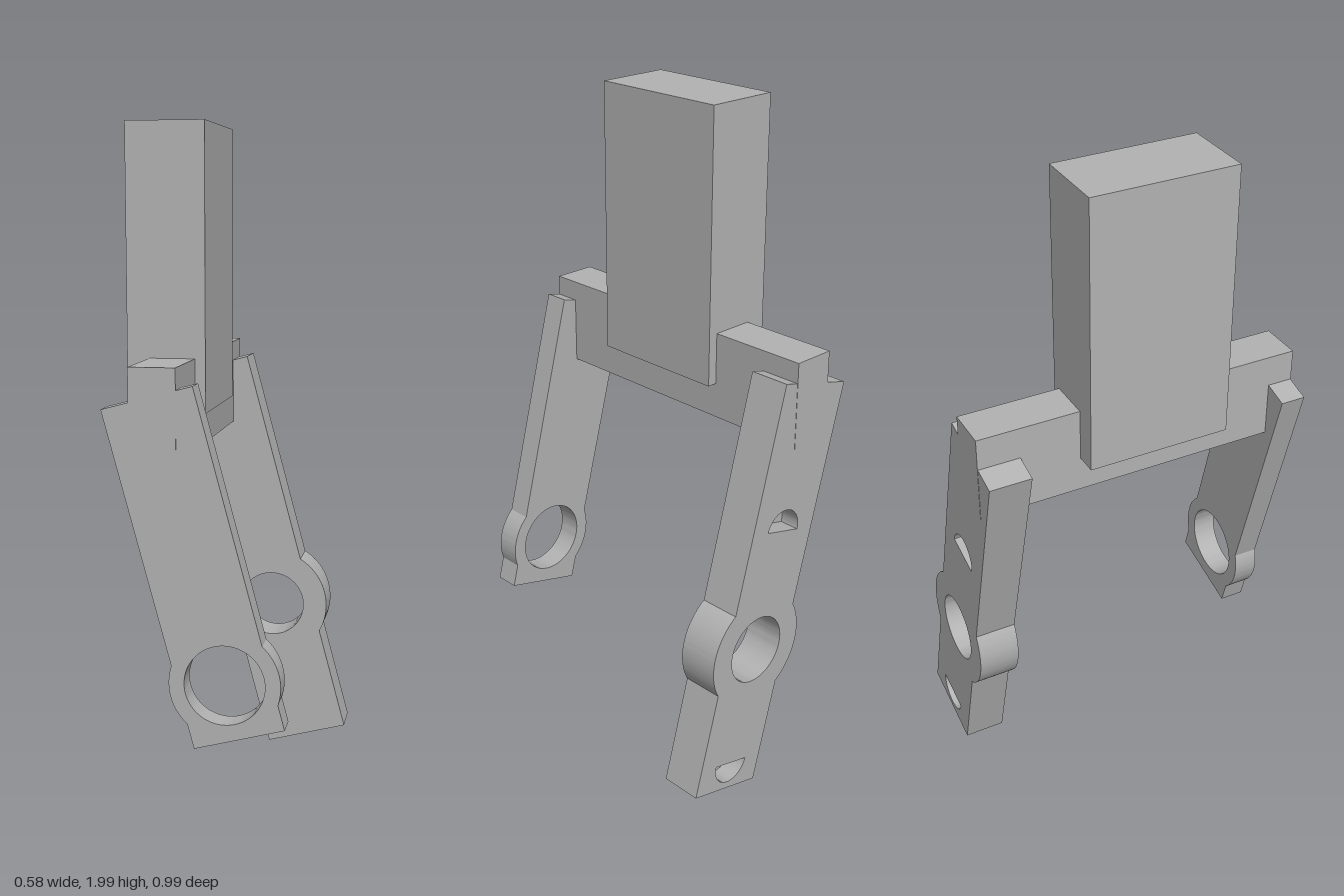
import * as THREE from 'three';
import { toCreasedNormals } from 'three/addons/utils/BufferGeometryUtils.js';

const HALF = 0.13; // half width of both arms
const TOP = 0.811; // arm top, measured along the arm from the ring centre

// Arm outline with a round boss and a bore, centred on the bore
function armShape(bottom, bossR, boreR) {
  const a = Math.acos(HALF / bossR);
  const s = new THREE.Shape();
  s.moveTo(-HALF, bottom);
  s.lineTo(HALF, bottom);
  s.absarc(0, 0, bossR, -a, a, false);
  s.lineTo(HALF, TOP);
  s.lineTo(-HALF, TOP);
  s.absarc(0, 0, bossR, Math.PI - a, Math.PI + a, false);
  s.closePath();
  s.holes.push(new THREE.Path().absarc(0, 0, boreR, 0, Math.PI * 2, true));
  return s;
}

// Half-moon slot, its arc pointing up (dir 1) or down (dir -1)
function halfMoon(v, dir) {
  const p = new THREE.Path();
  const start = dir > 0 ? 0 : Math.PI;
  p.absarc(0, v, 0.065, start, start + Math.PI, false);
  p.closePath();
  return p;
}

export function createModel() {
  const model = new THREE.Group();
  const grey = new THREE.MeshStandardMaterial({ color: 0xb2b2b2 });
  grey.name = 'grey';

  const add = (name, geometry, parent = model) => {
    const mesh = new THREE.Mesh(geometry, grey);
    mesh.name = name;
    parent.add(mesh);
    return mesh;
  };
  const box = (name, x0, x1, y0, y1, z0, z1) =>
    add(name, new THREE.BoxGeometry(x1 - x0, y1 - y0, z1 - z0))
      .position.set((x0 + x1) / 2, (y0 + y1) / 2, (z0 + z1) / 2);
  const plate = (name, shape, z0, z1, parent) => {
    const g = new THREE.ExtrudeGeometry(shape, { depth: z1 - z0, bevelEnabled: false, curveSegments: 40 });
    add(name, toCreasedNormals(g, 0.5), parent).position.z = z0;
  };
  const armGroup = (name) => {
    const g = new THREE.Group();
    g.name = name;
    g.position.set(0.045, 0.48, 0);
    g.rotation.z = Math.PI / 12;
    model.add(g);
    return g;
  };

  // Upright block and the crossbar that carries the arms
  box('uprightBlock', -0.28, -0.055, 1.19, 2, -0.19, 0.24);
  box('crossbar', -0.215, -0.085, 1.085, 1.345, -0.496, 0.496);

  // Short, thin front arm
  plate('frontArmPlate', armShape(-0.157, 0.155, 0.112), 0.42, 0.495, armGroup('frontArm'));

  // Long, thick rear arm with two blind slots in its back face
  const rear = armGroup('rearArm');
  plate('rearArmPlate', armShape(-0.456, 0.18, 0.104), -0.435, -0.37, rear);
  const slotted = armShape(-0.456, 0.18, 0.104);
  slotted.holes.push(halfMoon(0.37, 1), halfMoon(-0.37, -1));
  plate('rearArmSlottedPlate', slotted, -0.495, -0.435, rear);

  return model;
}
